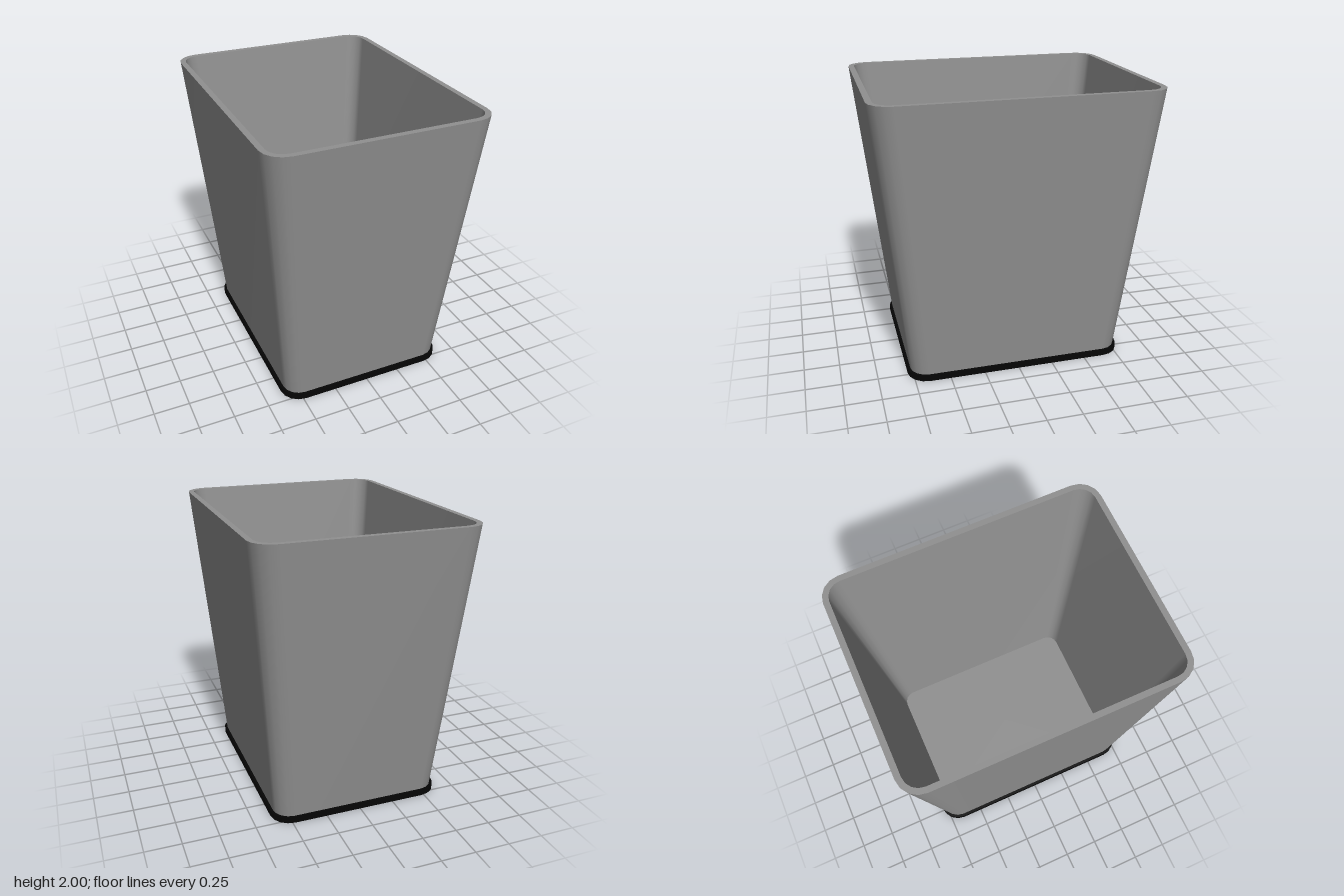
import * as THREE from 'three';

const CORNER_STEPS = 4;

// Rounded rectangle in the xz plane: half width, half depth, corner radius, height.
function ring([hx, hz, r, y]) {
  const points = [];
  [[1, 1], [-1, 1], [-1, -1], [1, -1]].forEach(([sx, sz], corner) => {
    for (let i = 0; i <= CORNER_STEPS; i++) {
      const a = (corner + i / CORNER_STEPS) * Math.PI / 2;
      points.push([sx * (hx - r) + r * Math.cos(a), y, sz * (hz - r) + r * Math.sin(a)]);
    }
  });
  return points;
}

// Joins successive rings; each band has its own vertices, so edges between bands stay sharp.
function loft(sections) {
  const positions = [], index = [];
  const rings = sections.map(ring);
  const n = rings[0].length;
  for (let s = 0; s < rings.length - 1; s++) {
    const start = positions.length / 3;
    positions.push(...rings[s].flat(), ...rings[s + 1].flat());
    for (let i = 0; i < n; i++) {
      const a0 = start + i, a1 = start + (i + 1) % n;
      index.push(a0, a0 + n, a1, a1, a0 + n, a1 + n);
    }
  }
  const geometry = new THREE.BufferGeometry();
  geometry.setAttribute('position', new THREE.Float32BufferAttribute(positions, 3));
  geometry.setIndex(index);
  geometry.computeVertexNormals();
  return geometry;
}

export function createModel() {
  const grey = new THREE.MeshStandardMaterial({ color: 0x909090 });
  grey.name = 'grey plastic';
  const black = new THREE.MeshStandardMaterial({ color: 0x050505 });
  black.name = 'black rubber';

  // Tapered bin: outer wall, rim, inner wall, floor
  const bin = new THREE.Mesh(loft([
    [0.60, 0.768, 0.12, 0.04],
    [0.767, 0.978, 0.15, 2],
    [0.727, 0.937, 0.11, 2],
    [0.557, 0.72, 0.085, 0.06],
    [0, 0, 0, 0.06],
  ]), grey);
  bin.name = 'bin';

  // Base plate: underside, edge, top
  const base = new THREE.Mesh(loft([
    [0, 0, 0, 0],
    [0.62, 0.788, 0.14, 0],
    [0.62, 0.788, 0.14, 0.042],
    [0, 0, 0, 0.042],
  ]), black);
  base.name = 'basePlate';

  const model = new THREE.Group();
  model.name = 'wasteBin';
  model.add(bin, base);
  return model;
}
